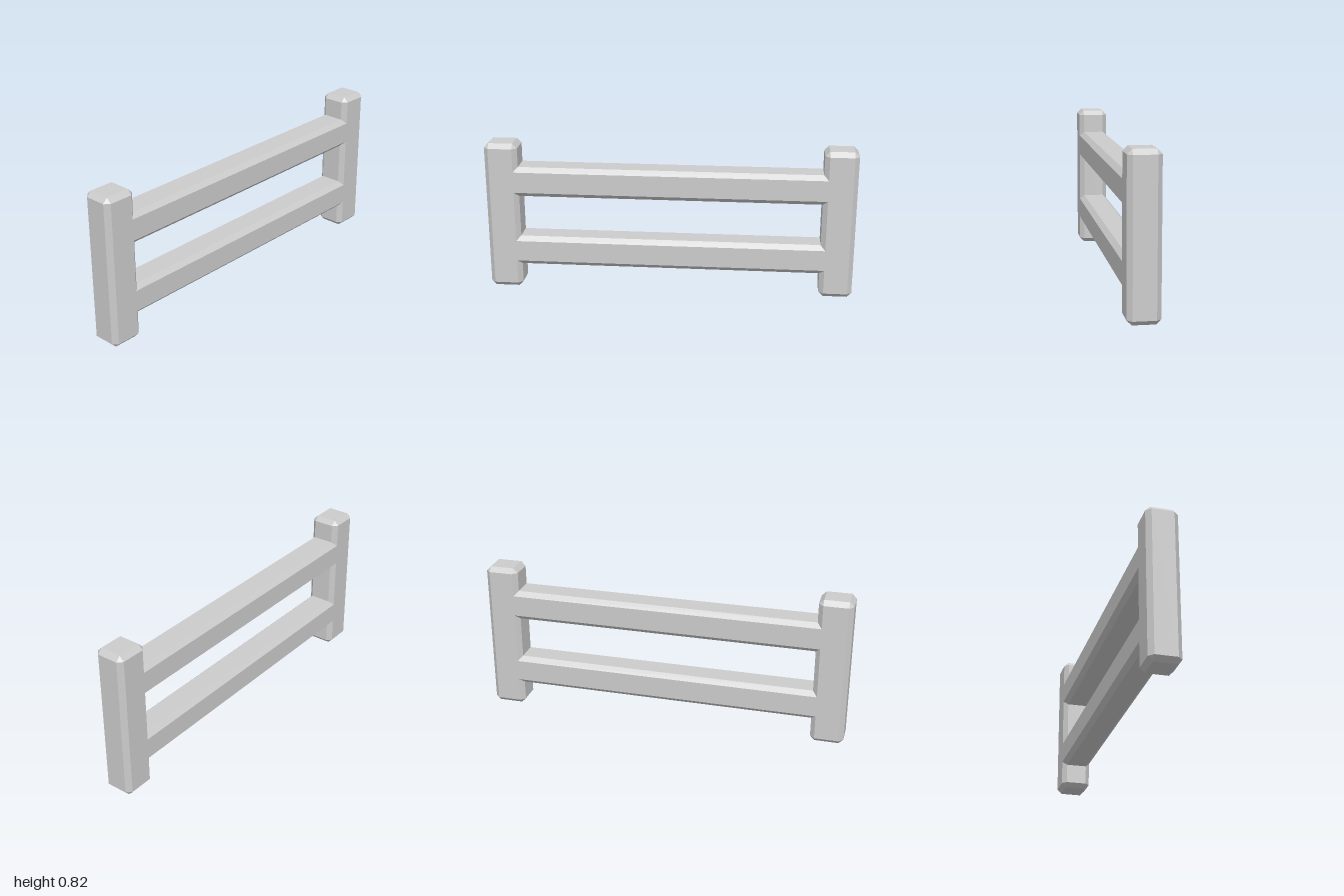
import * as THREE from 'three';
import { ConvexGeometry } from 'three/addons/geometries/ConvexGeometry.js';

const WIDTH = 0.165, BEVEL = 0.025;
const POST_HEIGHT = 0.825, POST_DEPTH = 0.18;
const RAIL_HEIGHT = 0.165;

// Box with every edge cut at 45 degrees and a small triangle at each corner
function chamferedBox(w, h, d, c) {
  const points = [];
  for (const sx of [-1, 1]) for (const sy of [-1, 1]) for (const sz of [-1, 1]) {
    const x = w / 2, y = h / 2, z = d / 2;
    points.push(
      new THREE.Vector3(sx * x, sy * (y - c), sz * (z - c)),
      new THREE.Vector3(sx * (x - c), sy * y, sz * (z - c)),
      new THREE.Vector3(sx * (x - c), sy * (y - c), sz * z)
    );
  }
  return new ConvexGeometry(points);
}

// Long bar along z with a chamfered cross-section
function chamferedBar(w, h, length, c) {
  const x = w / 2, y = h / 2;
  const section = new THREE.Shape([
    [x, c - y], [x, y - c], [x - c, y], [c - x, y],
    [-x, y - c], [-x, c - y], [c - x, -y], [x - c, -y]
  ].map(([px, py]) => new THREE.Vector2(px, py)));
  return new THREE.ExtrudeGeometry(section, { depth: length, bevelEnabled: false })
    .translate(0, 0, -length / 2);
}

export function createModel() {
  const group = new THREE.Group();
  group.name = 'fence';
  const material = new THREE.MeshStandardMaterial({ color: 0xcccccc, flatShading: true });

  const add = (name, geometry, y, z) => {
    const mesh = new THREE.Mesh(geometry, material);
    mesh.name = name;
    mesh.position.set(0, y, z);
    group.add(mesh);
  };

  // Upright posts at both ends
  const post = chamferedBox(WIDTH, POST_HEIGHT, POST_DEPTH, BEVEL);
  const postZ = 1 - POST_DEPTH / 2;
  add('frontPost', post, POST_HEIGHT / 2, postZ);
  add('backPost', post, POST_HEIGHT / 2, -postZ);

  // Rails run to the inner bevel of the posts, so their sides lie flush
  const railLength = 2 * (1 - POST_DEPTH + BEVEL);
  const rail = chamferedBar(WIDTH, RAIL_HEIGHT, railLength, BEVEL);
  add('upperRail', rail, 0.613, 0);
  add('lowerRail', rail, 0.217, 0);

  return group;
}
